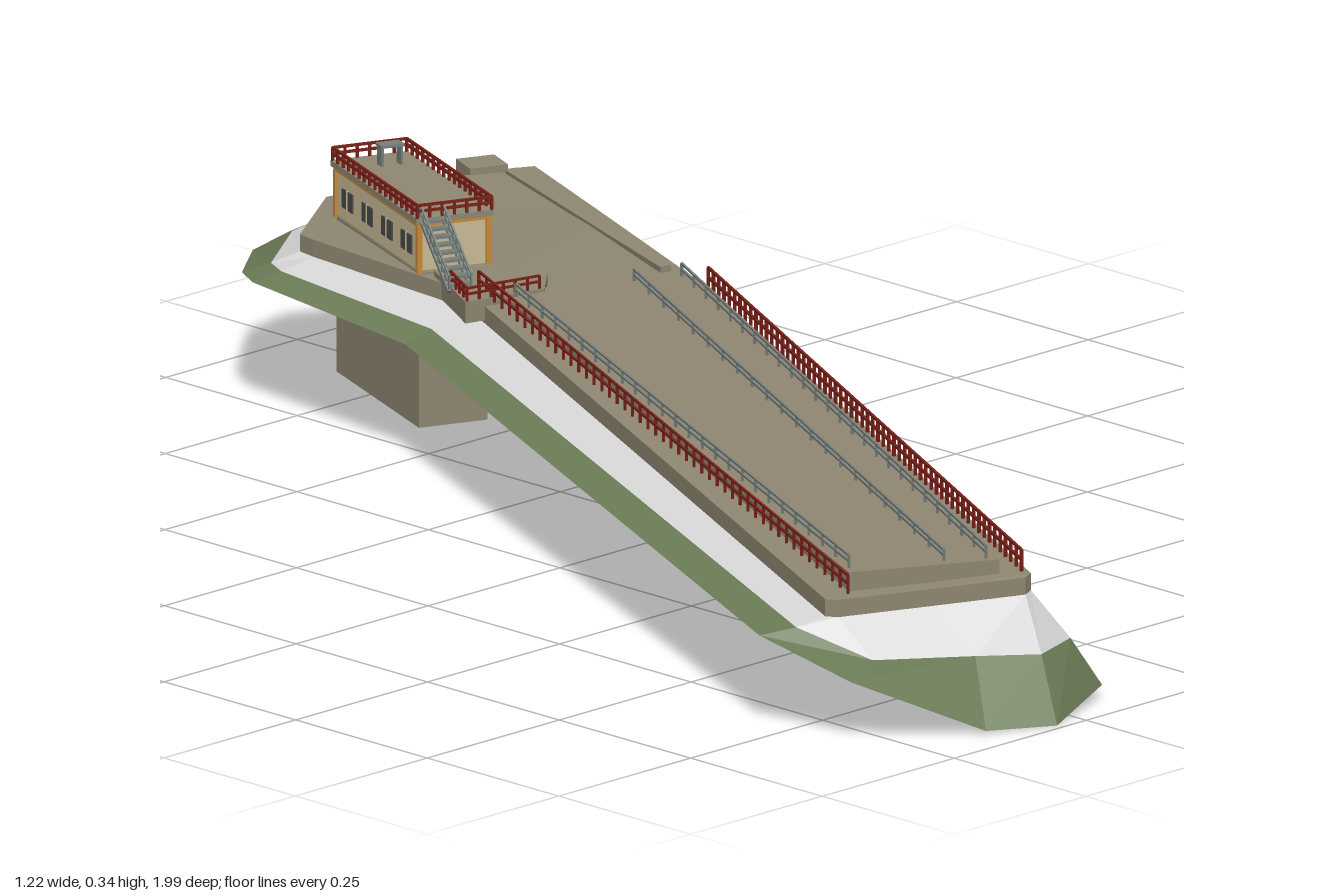
import * as THREE from 'three';
import { mergeGeometries } from 'three/addons/utils/BufferGeometryUtils.js';

const mat = (name, color) => {
  const m = new THREE.MeshStandardMaterial({ color, side: THREE.DoubleSide });
  m.name = name;
  return m;
};
const V = (a) => new THREE.Vector3(...a);

export function createModel() {
  const root = new THREE.Group();
  const M = {
    deck: mat('tan concrete', 0x8f8772),
    white: mat('pale band', 0xd8d8d8),
    green: mat('moss green', 0x6b7c57),
    cream: mat('cream wall', 0xc9bd97),
    red: mat('dark red', 0x7a1f17),
    orange: mat('orange trim', 0xc98a35),
    glass: mat('window grey', 0x4b4b48),
    steel: mat('steel grey', 0x78807c),
  };
  const add = (parent, name, geo, material) => {
    const m = new THREE.Mesh(geo, material);
    m.name = name;
    parent.add(m);
    return m;
  };
  const faces = (points) => {
    const g = new THREE.BufferGeometry().setFromPoints(points);
    g.computeVertexNormals();
    return g;
  };
  // closed strip between a lower and an upper loop
  const strip = (lo, hi) => {
    const p = [];
    lo.forEach((a, i) => {
      const j = (i + 1) % lo.length;
      p.push(a, lo[j], hi[j], a, hi[j], hi[i]);
    });
    return faces(p);
  };
  const cap = (loop) => {
    const flat = loop.map((v) => new THREE.Vector2(v.x, -v.z));
    const tris = THREE.ShapeUtils.triangulateShape(flat, []);
    return faces(tris.flat().map((i) => loop[i]));
  };
  const lift = (loop, h) => loop.map((v) => v.clone().setY(v.y + h));
  // square bar from a to b
  const bar = (a, b, t) => {
    const d = b.clone().sub(a);
    const g = new THREE.BoxGeometry(t, t, d.length());
    const q = new THREE.Quaternion().setFromUnitVectors(new THREE.Vector3(0, 0, 1), d.normalize());
    return g.applyQuaternion(q).translate((a.x + b.x) / 2, (a.y + b.y) / 2, (a.z + b.z) / 2);
  };
  const railing = (parent, name, pts, h, step, material, t = 0.003) => {
    const parts = [];
    for (let i = 0; i < pts.length - 1; i++) {
      const a = V(pts[i]), b = V(pts[i + 1]);
      for (const k of [0.55, 1]) {
        const up = new THREE.Vector3(0, h * k, 0);
        parts.push(bar(a.clone().add(up), b.clone().add(up), t));
      }
      const n = Math.max(1, Math.round(a.distanceTo(b) / step));
      for (let k = 0; k <= n; k++) {
        const p = a.clone().lerp(b, k / n);
        parts.push(bar(p, p.clone().setY(p.y + h), t));
      }
    }
    add(parent, name, mergeGeometries(parts), material);
  };

  // embankment: outer foot, colour break and top edge, counterclockwise
  const foot = [
    [-0.61, 0.14, 0.74], [-0.56, 0.09, 0.865], [-0.39, 0.004, 0.95], [-0.295, 0, 0.99],
    [-0.165, 0.02, 0.945], [0.405, 0.018, -0.25], [0.535, 0.03, -0.565], [0.605, 0.045, -0.8],
    [0.54, 0.105, -0.925], [0.235, 0.155, -1], [0.15, 0.15, -0.985], [-0.015, 0.185, -0.84],
    [-0.05, 0.19, -0.785], [-0.085, 0.18, -0.46]].map(V);
  const mid = [
    [-0.56, 0.145, 0.76], [-0.49, 0.1, 0.835], [-0.36, 0.092, 0.9], [-0.275, 0.085, 0.94],
    [-0.205, 0.09, 0.925], [0.365, 0.115, -0.265], [0.49, 0.12, -0.575], [0.565, 0.13, -0.81],
    [0.52, 0.15, -0.885], [0.225, 0.18, -0.95], [0.175, 0.182, -0.935], [0.015, 0.197, -0.815],
    [-0.01, 0.2, -0.77], [-0.04, 0.193, -0.455]].map(V);
  const top = [
    [-0.52, 0.155, 0.775], [-0.51, 0.155, 0.79], [-0.385, 0.156, 0.845], [-0.265, 0.158, 0.9],
    [-0.25, 0.16, 0.895], [0.315, 0.188, -0.285], [0.435, 0.196, -0.6], [0.52, 0.2, -0.82],
    [0.49, 0.2, -0.835], [0.21, 0.205, -0.905], [0.195, 0.205, -0.895], [0.045, 0.212, -0.79],
    [0.04, 0.212, -0.76], [0.025, 0.208, -0.45]].map(V);
  add(root, 'lowerSlope', strip(foot, mid), M.green);
  add(root, 'upperSlope', strip(mid, top), M.white);

  // main deck with its edge wall
  const deck = lift(top, 0.024);
  add(root, 'deckEdge', strip(top, deck), M.deck);
  add(root, 'deckTop', cap(deck), M.deck);

  // raised platform between the two side ledges
  const slabTop = [[-0.475, 0.207, 0.775], [-0.28, 0.203, 0.865], [0.285, 0.236, -0.3], [0.045, 0.236, -0.41]].map(V);
  add(root, 'platformEdge', strip(lift(slabTop, -0.035), slabTop), M.deck);
  add(root, 'platformTop', cap(slabTop), M.deck);

  // long kerb on the back right deck
  add(root, 'deckKerb', bar(V([0.32, 0.215, -0.37]), V([0.475, 0.222, -0.82]), 0.016), M.deck);
  const pad = add(root, 'kerbEndBlock', new THREE.BoxGeometry(0.055, 0.025, 0.05), M.deck);
  pad.position.set(0.46, 0.222, -0.86);
  pad.rotation.y = -0.4;

  // side fences on the ledges and handrails on the platform
  railing(root, 'leftFence', [[-0.487, 0.182, 0.785], [0.035, 0.235, -0.44]], 0.026, 0.028, M.red);
  railing(root, 'rightFence', [[-0.253, 0.184, 0.88], [0.31, 0.212, -0.28]], 0.03, 0.022, M.red, 0.0035);
  railing(root, 'leftHandrail', [[-0.46, 0.207, 0.76], [0.045, 0.236, -0.38]], 0.018, 0.05, M.steel);
  railing(root, 'rightHandrail', [[-0.29, 0.203, 0.85], [0.27, 0.236, -0.29]], 0.018, 0.05, M.steel);
  railing(root, 'middleHandrail', [[-0.34, 0.204, 0.82], [0.21, 0.236, -0.32]], 0.016, 0.06, M.steel);

  // control house, its foundation reaching below the deck
  const house = new THREE.Group();
  house.name = 'controlHouse';
  house.position.set(0.133, 0, -0.665);
  house.rotation.y = -0.385;
  root.add(house);
  const W = 0.1, L = 0.285;
  const box = (name, w, h, l, x, y, z, m) =>
    add(house, name, new THREE.BoxGeometry(w, h, l).translate(x, y, z), m);
  box('foundation', W, 0.22, L, 0, 0.128, 0, M.deck);
  box('walls', W, 0.07, L, 0, 0.27, 0, M.cream);
  box('roof', W + 0.012, 0.008, L + 0.012, 0, 0.309, 0, M.deck);
  box('roofTrim', W + 0.006, 0.005, L + 0.006, 0, 0.3025, 0, M.orange);
  for (const sx of [-1, 1]) {
    for (const sz of [-1, 1]) {
      box('cornerPost', 0.007, 0.066, 0.007, sx * W / 2, 0.268, sz * L / 2, M.orange);
    }
    for (let i = 0; i < 4; i++) {
      const z = -0.102 + i * 0.068;
      box('window', 0.004, 0.026, 0.036, sx * W / 2, 0.268, z, M.glass);
      box('windowBar', 0.006, 0.028, 0.003, sx * W / 2, 0.268, z, M.cream);
    }
  }
  box('door', 0.024, 0.046, 0.004, -0.02, 0.259, -L / 2, M.glass);
  const hw = W / 2 + 0.004, hl = L / 2 + 0.004, ry = 0.313;
  railing(house, 'roofRailing',
    [[-hw, ry, -hl], [hw, ry, -hl], [hw, ry, hl], [-hw, ry, hl], [-hw, ry, -hl]], 0.018, 0.018, M.red, 0.0035);
  // small raised hatch on the roof
  box('roofHatch', 0.034, 0.004, 0.02, 0.01, 0.341, -0.1, M.steel);
  for (const sx of [-1, 1]) box('hatchLeg', 0.003, 0.028, 0.016, 0.01 + sx * 0.014, 0.327, -0.1, M.steel);

  // outside stair rising to the roof
  const z0 = L / 2 + 0.1, z1 = L / 2;
  for (let i = 0; i < 9; i++) {
    const k = (i + 0.5) / 9;
    box('step', 0.032, 0.004, 0.012, -0.032, 0.24 + 0.072 * k, z0 + (z1 - z0) * k, M.steel);
  }
  for (const x of [-0.048, -0.016]) {
    add(house, 'stringer', bar(V([x, 0.236, z0]), V([x, 0.311, z1]), 0.005), M.steel);
    railing(house, 'stairRail', [[x, 0.238, z0], [x, 0.311, z1]], 0.02, 0.016, M.steel, 0.0025);
  }

  // low landing at the foot of the stair
  const landing = [[-0.03, 0.24, -0.4], [0.09, 0.24, -0.37], [0.145, 0.24, -0.42], [0.115, 0.24, -0.51], [0.045, 0.24, -0.535]].map(V);
  add(root, 'landingEdge', strip(lift(landing, -0.03), landing), M.deck);
  add(root, 'landingTop', cap(landing), M.deck);
  railing(root, 'landingFence', [[0.03, 0.24, -0.5], [-0.025, 0.24, -0.402], [0.085, 0.24, -0.375]], 0.018, 0.02, M.red);

  return root;
}
